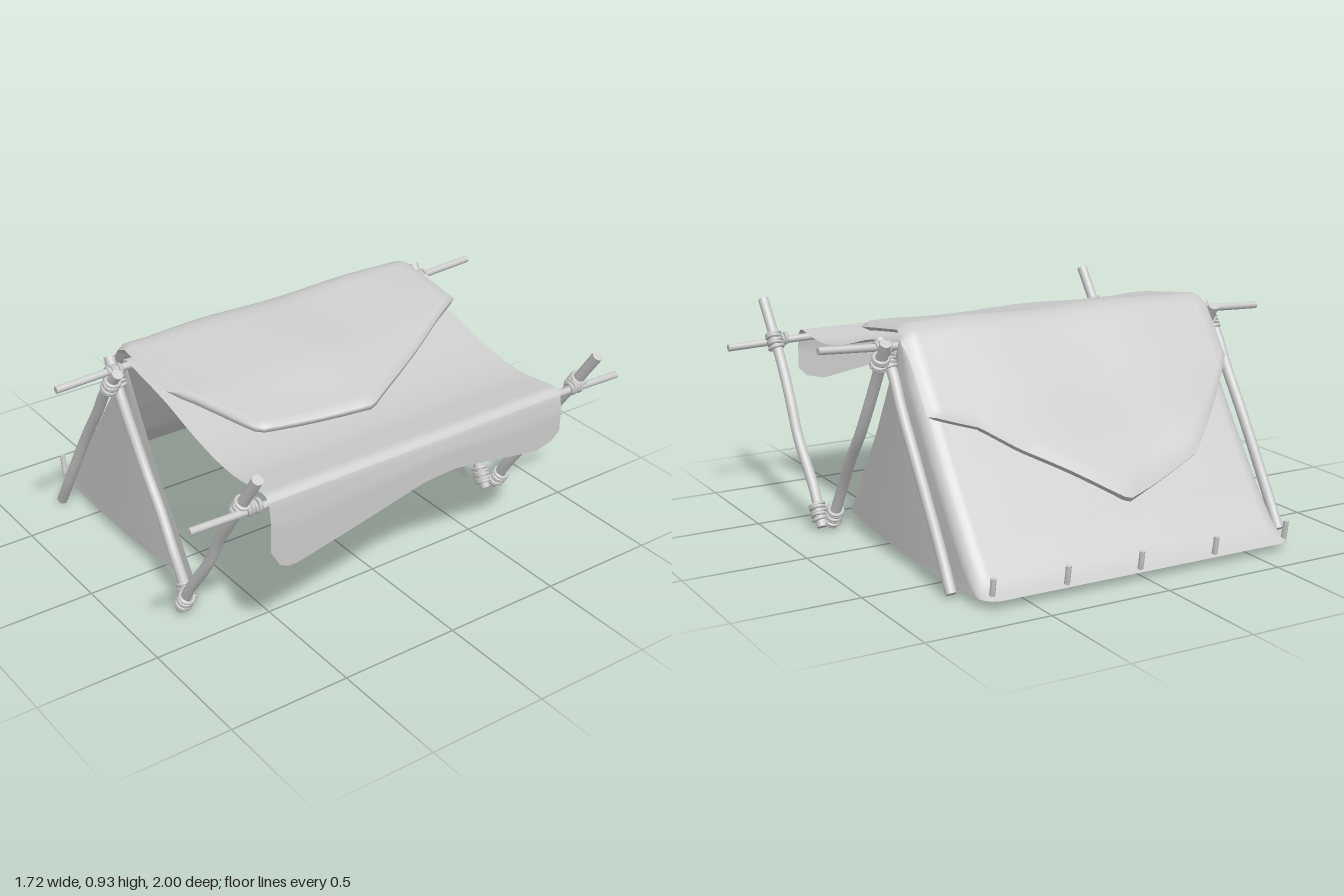
import * as THREE from 'three';
import { mergeGeometries } from 'three/addons/utils/BufferGeometryUtils.js';

const V = (x, y, z) => new THREE.Vector3(x, y, z);
const Z = V(0, 0, 1);
const solid = new THREE.MeshStandardMaterial({ color: 0xcccccc });
const cloth = new THREE.MeshStandardMaterial({ color: 0xcccccc, side: THREE.DoubleSide });

// Piecewise linear lookup in a list of [input, output] pairs
function lerpTable(table, t) {
  if (t <= table[0][0]) return table[0][1];
  for (let i = 1; i < table.length; i++) {
    const [a, va] = table[i - 1], [b, vb] = table[i];
    if (t <= b) return va + (vb - va) * (t - a) / (b - a);
  }
  return table[table.length - 1][1];
}

// Smooth skin over rows of points
function skin(rows) {
  const n = rows[0].length, index = [];
  for (let i = 0; i < rows.length - 1; i++)
    for (let j = 0; j < n - 1; j++) {
      const a = i * n + j, b = a + 1, c = a + n, d = c + 1;
      index.push(a, b, c, b, d, c);
    }
  const g = new THREE.BufferGeometry().setFromPoints(rows.flat());
  g.setIndex(index);
  g.computeVertexNormals();
  return g;
}

// Capped stick through a few points
function stick(points, r) {
  const curve = new THREE.CatmullRomCurve3(points);
  const parts = [new THREE.TubeGeometry(curve, 28, r, 10)];
  for (const t of [0, 1]) {
    const dir = curve.getTangent(t).multiplyScalar(t ? 1 : -1);
    const cap = new THREE.CircleGeometry(r, 10);
    cap.applyQuaternion(new THREE.Quaternion().setFromUnitVectors(Z, dir));
    const p = curve.getPoint(t);
    parts.push(cap.translate(p.x, p.y, p.z));
  }
  return mergeGeometries(parts);
}

// Coils of rope around a stick
function coil(center, dir, count, r) {
  const parts = [];
  const d = dir.clone().normalize();
  for (let i = 0; i < count; i++) {
    const g = new THREE.TorusGeometry(r, 0.008, 6, 18);
    g.rotateX((i % 2 ? 1 : -1) * 0.12);
    g.applyQuaternion(new THREE.Quaternion().setFromUnitVectors(Z, d));
    const p = center.clone().addScaledVector(d, (i - (count - 1) / 2) * 0.015);
    parts.push(g.translate(p.x, p.y, p.z));
  }
  return mergeGeometries(parts);
}

export function createModel() {
  const model = new THREE.Group();
  const add = (name, geometry, material = solid) => {
    const m = new THREE.Mesh(geometry, material);
    m.name = name;
    model.add(m);
  };

  // Leg poles and lashings at both ends
  const legs = {
    backLeg: [[-0.66, 0.02], [-0.57, 0.16], [-0.41, 0.44], [-0.28, 0.63], [-0.2, 0.75], [-0.11, 0.86]],
    middleLeg: [[-0.24, 0.87], [-0.16, 0.74], [-0.01, 0.48], [0.1, 0.34], [0.2, 0.2], [0.3, 0.02]],
    frontLeg: [[0.295, 0.02], [0.38, 0.16], [0.51, 0.35], [0.58, 0.48], [0.69, 0.64], [0.84, 0.87]],
  };
  const ends = [
    { side: 1, zs: [0.77, 0.73, 0.772] },
    { side: -1, zs: [-0.72, -0.76, -0.805] },
  ];
  const up = V(0.55, 0.84, 0), down = V(0.55, -0.84, 0);
  for (const { zs } of ends) {
    Object.entries(legs).forEach(([name, pts], k) =>
      add(name, stick(pts.map(([x, y], i) => V(x, y, zs[k] + 0.005 * Math.sin(i * 2))), 0.022)));
    const [za, zb, zc] = zs;
    add('ridgeLashing', mergeGeometries([
      coil(V(-0.165, 0.79, za), up, 5, 0.028),
      coil(V(-0.185, 0.79, zb), down, 4, 0.028),
      coil(V(-0.17, 0.84, (za + zb) / 2), Z, 4, 0.022),
    ]));
    add('footLashing', mergeGeometries([
      coil(V(0.275, 0.07, zb), down, 5, 0.028),
      coil(V(0.33, 0.075, zc), up, 5, 0.028),
    ]));
    add('frontLashing', mergeGeometries([
      coil(V(0.735, 0.71, zc), up, 5, 0.028),
      coil(V(0.76, 0.71, zc * 0.96), Z, 4, 0.022),
    ]));
  }

  // Cross poles
  const bar = (x, ys) => stick(ys.map((y, i) => V(x, y, 1 - 2 * i / (ys.length - 1))), 0.015);
  add('ridgePole', bar(-0.17, [0.838, 0.848, 0.836, 0.838, 0.835, 0.84, 0.856]));
  add('frontPole', bar(0.762, [0.705, 0.7, 0.712, 0.715, 0.71, 0.705, 0.695]));

  // Back wall wrapping round into two triangular side walls
  const backX = [[0.04, -0.86], [0.06, -0.81], [0.1, -0.765], [0.2, -0.68], [0.44, -0.505], [0.82, -0.245], [0.87, -0.205]];
  const frontX = [[0.04, 0.275], [0.46, 0.01], [0.8, -0.17], [0.87, -0.2]];
  const wallRows = [];
  for (let i = 0; i <= 28; i++) {
    const y = 0.04 + 0.825 * Math.pow(i / 28, 1.3);
    const xb = lerpTable(backX, y), xf = lerpTable(frontX, y);
    const r = Math.min(0.07, (xf - xb) * 0.45);
    const half = [];
    for (let j = 0; j <= 12; j++) {
      const t = j / 12, x = xf + (xb + r - xf) * t;
      const lift = 0.035 * (1 - t) * (1 - t) * (1 - i / 28);
      half.push([x, y + lift, 0.685 + 0.02 * Math.sin(Math.PI * t) * (1 - y)]);
    }
    for (let j = 1; j <= 6; j++) {
      const a = j / 6 * Math.PI / 2;
      half.push([xb + r - r * Math.sin(a), y, 0.685 - r + r * Math.cos(a)]);
    }
    for (const k of [0.75, 0.5, 0.25, 0]) half.push([xb, y, (0.685 - r) * k]);
    const mirrored = half.slice(0, -1).reverse();
    wallRows.push([...half.map(p => V(...p)), ...mirrored.map(([x, h, z]) => V(x, h, -z))]);
  }
  add('tentWalls', skin(wallRows), cloth);

  // Sagging canopy with a hanging front flap
  const canopy = new THREE.CatmullRomCurve3([
    [-0.225, 0.84], [-0.19, 0.865], [-0.1, 0.852], [0.1, 0.815], [0.3, 0.76], [0.45, 0.73],
    [0.58, 0.722], [0.7, 0.735], [0.765, 0.738], [0.79, 0.715],
  ].map(([x, y]) => V(x, y, 0)));
  const hem = [[-0.68, 0.57], [-0.64, 0.53], [-0.56, 0.51], [-0.4, 0.535], [-0.15, 0.575], [0, 0.565],
    [0.3, 0.495], [0.6, 0.43], [0.65, 0.45], [0.69, 0.52]];
  const zCols = Array.from({ length: 37 }, (_, j) => -0.675 + 1.365 * j / 36);
  const canopyRows = canopy.getPoints(40).map(p => zCols.map(z => V(p.x, p.y, z)));
  for (let i = 1; i <= 8; i++)
    canopyRows.push(zCols.map(z => V(0.79 + 0.01 * Math.min(1, i / 3), 0.715 + (lerpTable(hem, z) - 0.715) * i / 8, z)));
  add('canopy', skin(canopyRows), cloth);

  // Thick hide draped over the ridge
  const leftX = [[-0.69, -0.43], [-0.5, -0.47], [-0.2, -0.6], [0.02, -0.7], [0.39, -0.61], [0.57, -0.48], [0.69, -0.38]];
  const rightX = [[-0.69, 0.12], [0.02, 0.51], [0.49, 0.44], [0.69, 0.12]];
  const drape = [[-0.7, 0.265], [-0.62, 0.365], [-0.53, 0.475], [-0.42, 0.645], [-0.3, 0.81], [-0.24, 0.89],
    [-0.19, 0.912], [0, 0.882], [0.2, 0.848], [0.4, 0.785], [0.51, 0.762]];
  const hideRows = [];
  const N = 32, M = 44;
  for (let i = 0; i <= M; i++) {
    const z = 0.69 - 1.38 * i / M;
    const thick = i === 0 || i === M ? 0 : 0.018;
    const xl = lerpTable(leftX, z), xr = lerpTable(rightX, z);
    const top = [], bottom = [];
    for (let j = 0; j <= N; j++) {
      const u = j / N * 2 - 1;
      const x = u < 0 ? -0.21 + (xl + 0.21) * -u : -0.21 + (xr + 0.21) * u;
      const slope = (lerpTable(drape, x + 0.03) - lerpTable(drape, x - 0.03)) / 0.06;
      const n = V(-slope, 1, 0).normalize();
      const y = lerpTable(drape, x) + 0.005 * Math.sin(z * 9 + x * 5);
      const t = j === 0 || j === N ? thick * 0.6 : thick;
      top.push(V(x, y, z).addScaledVector(n, t));
      bottom.push(V(x, y, z).addScaledVector(n, -t));
    }
    hideRows.push([...top, ...bottom.reverse(), top[0].clone()]);
  }
  add('hideCover', skin(hideRows), cloth);

  // Pegs along the back hem
  [0.67, 0.32, -0.02, -0.34, -0.64].forEach((z, i) => {
    const x = i % 4 ? -0.845 : -0.825;
    add('peg', stick([V(x + 0.01, 0.03, z), V(x, 0.075, z), V(x - 0.007, 0.12, z)], 0.011));
  });

  return model;
}
